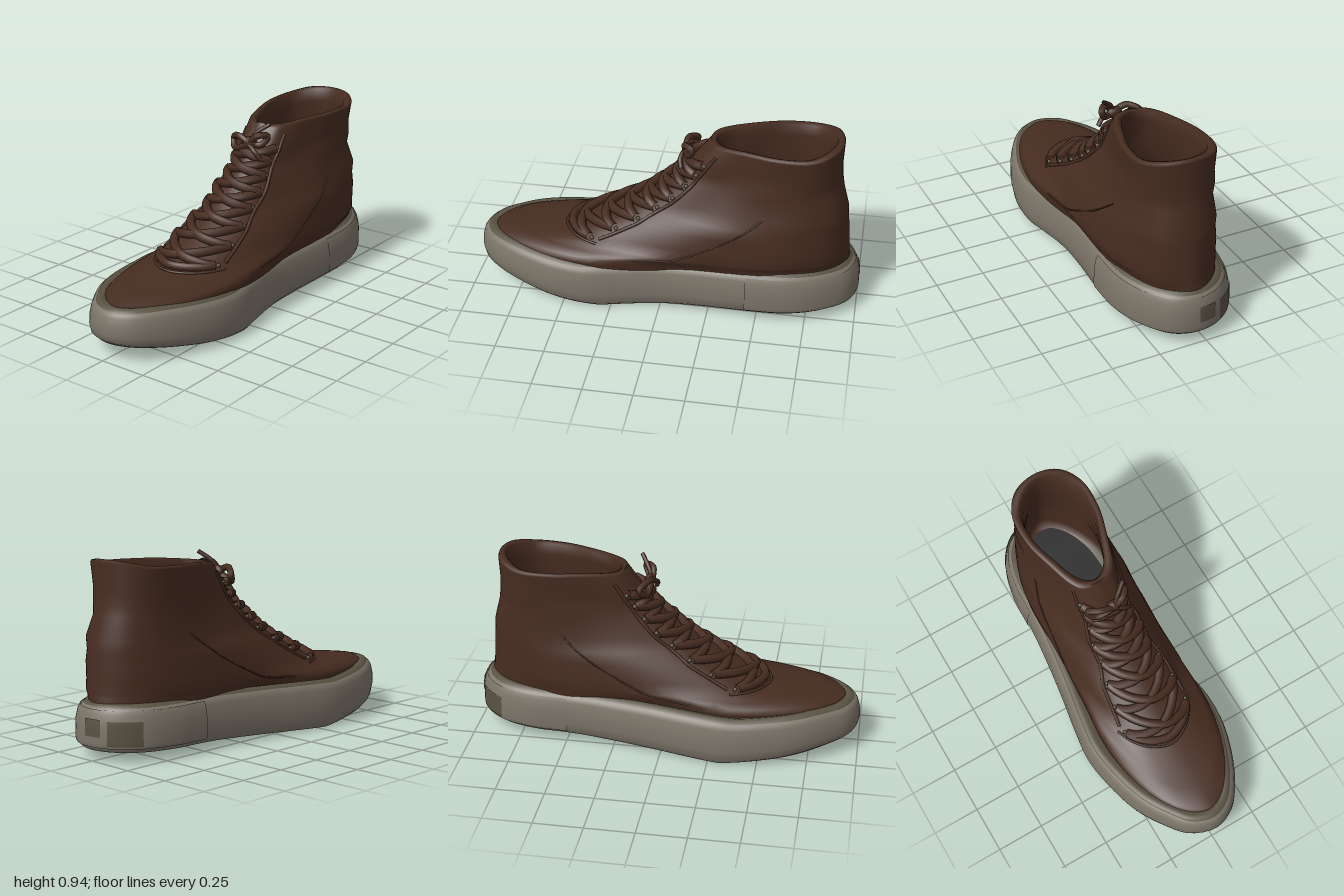
import * as THREE from 'three';
import { mergeVertices } from 'three/addons/utils/BufferGeometryUtils.js';

const mat = (name, color) => new THREE.MeshStandardMaterial({ name, color, side: THREE.DoubleSide });
const V = (x, y, z) => new THREE.Vector3(x, y, z);
const lerp = THREE.MathUtils.lerp;

// linear lookup in a table of rows sorted by their first value
function look(table, v) {
  let i = 0;
  while (i < table.length - 2 && v > table[i + 1][0]) i++;
  const a = table[i], b = table[i + 1];
  const k = THREE.MathUtils.clamp((v - a[0]) / (b[0] - a[0]), 0, 1);
  return a.map((n, j) => lerp(n, b[j], k));
}

// surface from a point rule; u runs around, j counts along the profile
function grid(point, nu, nv) {
  const pos = [], index = [];
  for (let j = 0; j <= nv; j++)
    for (let i = 0; i <= nu; i++) pos.push(...point(i / nu, j).toArray());
  for (let j = 0; j < nv; j++)
    for (let i = 0; i < nu; i++) {
      const a = j * (nu + 1) + i, d = a + nu + 1;
      index.push(a, d, a + 1, a + 1, d, d + 1);
    }
  const g = new THREE.BufferGeometry();
  g.setAttribute('position', new THREE.Float32BufferAttribute(pos, 3));
  g.setIndex(index);
  const m = mergeVertices(g, 1e-5);
  m.computeVertexNormals();
  return m;
}

// upper: height, back z, front z, back centre x, front centre x, half widths back to front
const UPPER = [
  [0.16, -0.95, 0.94, 0.035, 0.02, 0.15, 0.25, 0.235, 0.285, 0.205, 0.11],
  [0.25, -0.95, 0.93, 0.035, 0.02, 0.15, 0.25, 0.25, 0.295, 0.215, 0.12],
  [0.275, -0.95, 0.91, 0.035, 0.02, 0.15, 0.25, 0.262, 0.285, 0.195, 0.11],
  [0.295, -0.945, 0.79, 0.04, 0.02, 0.15, 0.25, 0.268, 0.272, 0.18, 0.1],
  [0.315, -0.945, 0.54, 0.045, 0.02, 0.145, 0.25, 0.272, 0.262, 0.19, 0.11],
  [0.37, -0.94, 0.415, 0.045, 0.025, 0.14, 0.245, 0.268, 0.248, 0.18, 0.105],
  [0.45, -0.935, 0.255, 0.045, 0.025, 0.14, 0.237, 0.258, 0.23, 0.165, 0.1],
  [0.51, -0.93, 0.155, 0.045, 0.03, 0.135, 0.225, 0.24, 0.21, 0.145, 0.09],
  [0.57, -0.925, 0.065, 0.045, 0.03, 0.13, 0.21, 0.22, 0.185, 0.135, 0.085],
  [0.68, -0.895, -0.06, 0.035, 0.03, 0.12, 0.195, 0.205, 0.165, 0.12, 0.075],
  [0.74, -0.885, -0.105, 0.035, 0.03, 0.12, 0.195, 0.202, 0.16, 0.115, 0.07],
  [0.8, -0.88, -0.145, 0.035, 0.03, 0.12, 0.195, 0.2, 0.158, 0.115, 0.075],
  [0.9, -0.885, -0.215, 0.04, 0.03, 0.125, 0.2, 0.207, 0.165, 0.118, 0.08],
];
const STATIONS = [0.05, 0.2, 0.45, 0.7, 0.9, 0.97];

// closed horizontal section: back, left side, front (u = 0.5), right side
function ring(y, inset = 0, lift = 0) {
  const [, zb, zf, cb, cf, ...w] = look(UPPER, y);
  const k = THREE.MathUtils.smoothstep(y, 0.72, 0.9);
  const at = (t, half) => {
    const fold = half ? 0.007 * Math.sin(34 * y + 7 * t) * THREE.MathUtils.smoothstep(y, 0.35, 0.5) * (1 - k) : 0;
    const tilt = k * (0.035 * Math.max(0, 1 - t * 4) - 0.02 * Math.max(0, t * 2.5 - 1.5));
    return V(lerp(cb, cf, t) + half + Math.sign(half) * (fold - inset), y + lift + tilt, lerp(zb + inset, zf - inset, t));
  };
  const plus = STATIONS.map((t, i) => at(t, w[i]));
  const minus = STATIONS.map((t, i) => at(t, -w[i])).reverse();
  return new THREE.CatmullRomCurve3([at(0, 0), ...plus, at(1, 0), ...minus], true);
}
const skin = (y, u, out = 0) => ring(y).getPoint(u).add(V(0, out * 0.55, out * 0.83));

// sole plan, from the toe round the model's right side to the heel and back
const OUTLINE = new THREE.CatmullRomCurve3([
  [0.02, 1], [-0.115, 0.955], [-0.205, 0.85], [-0.29, 0.7], [-0.345, 0.5], [-0.365, 0.33], [-0.345, 0.15],
  [-0.315, -0.03], [-0.285, -0.25], [-0.26, -0.5], [-0.25, -0.68], [-0.2, -0.85], [-0.1, -0.96],
  [0.03, -1], [0.16, -0.96], [0.255, -0.84], [0.315, -0.67], [0.325, -0.45], [0.308, -0.2], [0.305, 0],
  [0.333, 0.2], [0.36, 0.37], [0.352, 0.52], [0.3, 0.7], [0.22, 0.86], [0.135, 0.957],
].map(([x, z]) => V(x, 0, z)), true);
const BOTTOM = [[-1, 0.05], [-0.4, 0.042], [0, 0.02], [0.3, 0.004], [0.6, 0.035], [1, 0.095]];
const TOP = [[-1, 0.262], [-0.4, 0.262], [0, 0.248], [0.4, 0.232], [0.8, 0.255], [1, 0.255]];
const bottomY = z => look(BOTTOM, z)[1];

// point on the sole wall: f is the height share, off the distance outward
function wall(u, f, off, lift = 0) {
  const p = OUTLINE.getPoint(u % 1), t = OUTLINE.getTangent(u % 1);
  const y = lerp(bottomY(p.z), look(TOP, p.z)[1], f) + lift;
  return V(p.x + t.z * off, y, p.z - t.x * off);
}
const band = (profile, u0 = 0, u1 = 1, n = 96) =>
  grid((u, j) => wall(lerp(u0, u1, u), ...profile[j]), n, profile.length - 1);

export function createModel() {
  const model = new THREE.Group();
  const brown = mat('brown canvas', 0x462c20);
  const rubber = mat('grey rubber', 0x7c7569);
  const trim = mat('olive trim', 0x595242);
  const tread = mat('dark tread', 0x50483a);
  const lining = mat('charcoal insole', 0x2a2a2a);
  const add = (name, geometry, material) => {
    const m = new THREE.Mesh(geometry, material);
    m.name = name;
    model.add(m);
    return m;
  };
  const tube = (name, pts, r, n = 20) =>
    add(name, new THREE.TubeGeometry(new THREE.CatmullRomCurve3(pts), n, r, 8), brown);

  // sole wall, heel overlay, top strip and worn heel patches
  add('soleWall', band([[0, -0.025], [0.08, -0.008], [0.3, 0], [0.6, -0.003], [0.85, -0.014], [0.95, -0.024], [1, -0.038]]), rubber);
  add('heelBand', band([[0.1, 0], [0.2, 0.006], [0.6, 0.004], [0.85, -0.007], [0.95, -0.018]], 0.345, 0.655, 48), rubber);
  add('topStrip', band([[0.99, -0.035], [1, -0.046, 0.01], [1, -0.066, 0.014], [1, -0.1, 0]]), trim);
  add('heelPatch', band([[0.16, 0.007], [0.22, 0.009], [0.6, 0.007], [0.72, 0.004]], 0.424, 0.468, 12), trim);
  add('heelPatchSmall', band([[0.35, 0.008], [0.6, 0.007], [0.75, 0.003]], 0.478, 0.503, 8), trim);

  // underside with round studs
  add('outsole', grid((u, j) => {
    const p = wall(u, 0, -0.025);
    return V(lerp(0.02, p.x, j), bottomY(p.z), p.z);
  }, 96, 1), tread);
  for (let r = 0; r < 13; r++) {
    for (let c = -2; c <= 2; c++) {
      const z = -0.84 + r * 0.135, x = 0.025 + (c + (r % 2) * 0.5 - 0.25) * 0.095;
      const half = z > 0.65 ? 0.14 : 0.2;
      if (Math.abs(x - 0.025) > half) continue;
      const stud = add('treadStud', new THREE.CylinderGeometry(0.018, 0.014, 0.006, 8), tread);
      stud.position.set(x, bottomY(z) + 0.001, z);
    }
  }

  // upper: outside, rolled collar, inside wall and floor
  const rings = UPPER.map(row => ring(row[0]));
  rings.push(ring(0.9, 0.004, 0.01), ring(0.9, 0.02, 0.014), ring(0.9, 0.036, 0.006));
  [0.85, 0.74, 0.6, 0.48, 0.35].forEach(y => rings.push(ring(y, 0.042)));
  rings.push(ring(0.35, 0.045, -0.1));
  add('upper', grid((u, j) => j < rings.length ? rings[j].getPoint(u % 1) : V(0.03, 0.25, -0.25), 84, rings.length), brown);

  // insole, cut straight at its front end
  const insole = new THREE.Shape();
  insole.moveTo(-0.17, 0.4);
  insole.lineTo(0.24, 0.4);
  insole.lineTo(0.24, 0.65);
  insole.bezierCurveTo(0.23, 0.96, -0.15, 0.96, -0.17, 0.65);
  const bed = add('insole', new THREE.ShapeGeometry(insole, 16), lining);
  bed.rotation.x = -Math.PI / 2;
  bed.position.y = 0.257;

  // stitched ridges: toe cap edge, lace facings, side seams
  const steps = (n, fn) => Array.from({ length: n + 1 }, (_, i) => fn(i / n));
  tube('toeCapSeam', steps(14, k => skin(0.318, lerp(0.343, 0.657, k))), 0.007, 40);
  for (const s of [-1, 1]) {
    tube('laceFacing', steps(14, k => skin(lerp(0.34, 0.86, k), 0.5 + s * 0.148)), 0.009, 40);
    tube('sideSeam', steps(10, k => skin(lerp(0.28, 0.62, k), 0.5 + s * lerp(0.243, 0.303, k), -0.002)), 0.004, 30);
  }

  // tongue rising out of the collar
  add('tongue', grid((u, j) => {
    const x = (u - 0.5) * 0.18, k = j / 5;
    return V(0.03 + x, 0.76 + 0.14 * k - 6 * x * x * k, -0.125 - 0.1 * k - 3 * x * x);
  }, 10, 5), brown);

  // crossed laces with eyelets
  const heights = [0.335, 0.4, 0.465, 0.53, 0.595, 0.66, 0.725, 0.79];
  const reach = 0.13;
  tube('bottomLace', steps(8, k => skin(0.335, lerp(0.5 - reach, 0.5 + reach, k), 0.01)), 0.022);
  heights.forEach((y, i) => {
    for (const s of [-1, 1]) {
      const eyelet = add('eyelet', new THREE.SphereGeometry(0.011, 8, 6), trim);
      eyelet.position.copy(skin(y, 0.5 + s * (reach + 0.008), 0.006));
      if (i === heights.length - 1) continue;
      const next = heights[i + 1];
      tube('lace', steps(8, k => skin(lerp(y, next, k), 0.5 + s * lerp(-reach, reach, k),
        0.004 + 0.01 * Math.sin(Math.PI * k) + (s > 0 ? 0.006 : 0))), 0.024);
    }
  });

  // knot, two bows and loose ends
  const knot = add('knot', new THREE.SphereGeometry(0.035, 12, 8), brown);
  knot.position.set(0.05, 0.825, -0.105);
  knot.scale.set(1.2, 0.9, 0.8);
  const bow = (name, pts, r) => tube(name, pts.map(p => V(...p)), r, 28);
  bow('bow', [[0.05, 0.825, -0.095], [0.1, 0.87, -0.1], [0.135, 0.865, -0.14], [0.11, 0.82, -0.12], [0.05, 0.82, -0.095]], 0.017);
  bow('bow', [[0.05, 0.825, -0.095], [-0.02, 0.85, -0.1], [-0.08, 0.82, -0.14], [-0.05, 0.78, -0.11], [0.05, 0.82, -0.095]], 0.017);
  bow('laceEnd', [[0.05, 0.83, -0.095], [0.08, 0.88, -0.12], [0.135, 0.925, -0.16]], 0.011);
  bow('laceEnd', [[0.05, 0.82, -0.09], [0.1, 0.79, -0.075], [0.13, 0.755, -0.085]], 0.012);
  return model;
}
